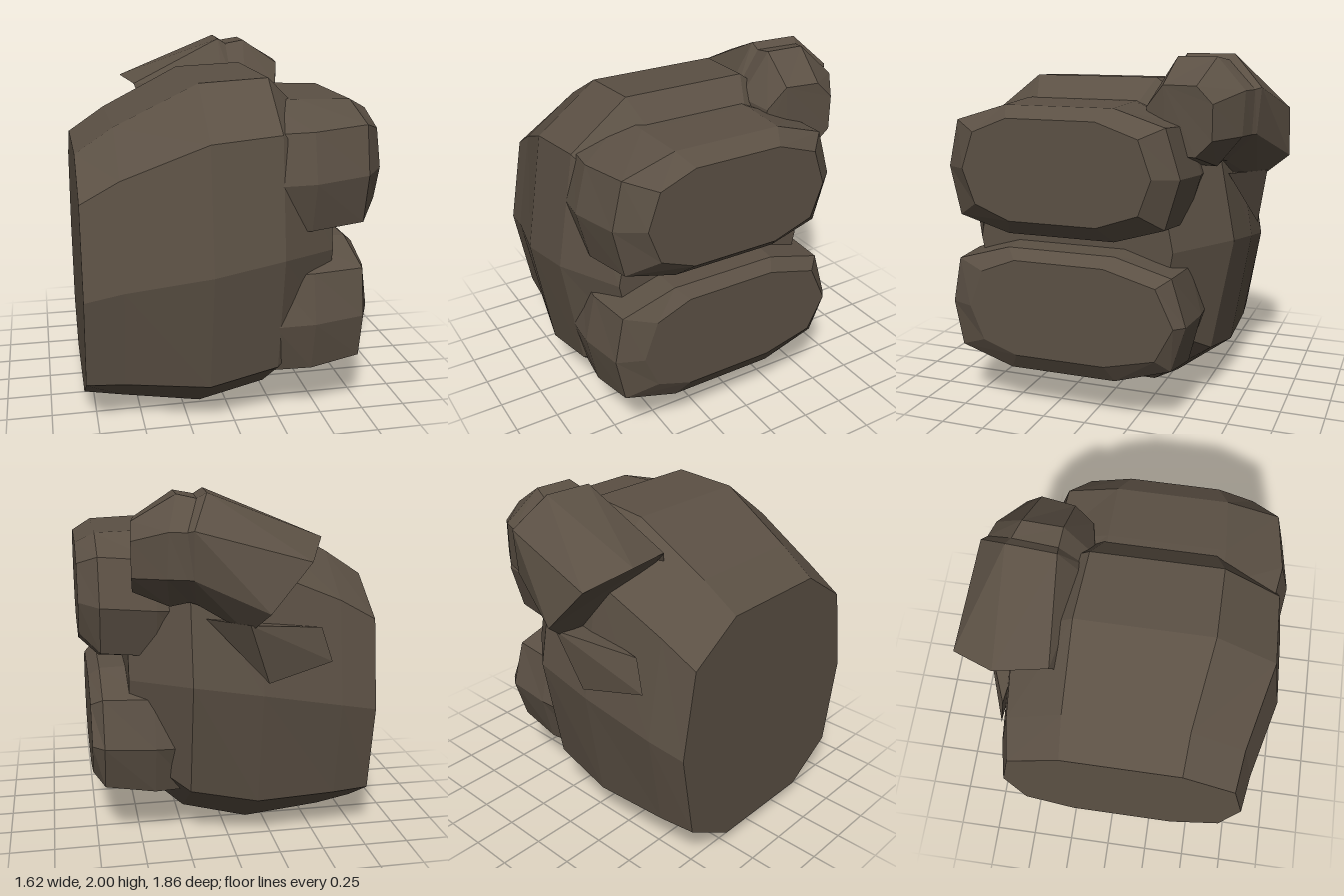
import * as THREE from 'three';
import { ConvexGeometry } from 'three/addons/geometries/ConvexGeometry.js';

const fur = new THREE.MeshStandardMaterial({ color: 0x5b5044, flatShading: true });
fur.name = 'dark brown';

// Skins a row of cross-sections that run along +x, and closes both ends.
function loft(rings) {
  const n = rings[0].length;
  const pos = rings.flat(2);
  const index = [];
  for (let i = 0; i < rings.length - 1; i++) {
    for (let j = 0; j < n; j++) {
      const k = (j + 1) % n;
      const a = i * n + j, b = i * n + k, d = a + n, c = b + n;
      index.push(a, d, b, b, d, c);
    }
  }
  const last = (rings.length - 1) * n;
  for (let j = 1; j < n - 1; j++) {
    index.push(0, j, j + 1);
    index.push(last, last + j + 1, last + j);
  }
  const indexed = new THREE.BufferGeometry();
  indexed.setAttribute('position', new THREE.Float32BufferAttribute(pos, 3));
  indexed.setIndex(index);
  const geo = indexed.toNonIndexed();
  geo.computeVertexNormals();
  return geo;
}

// Ten-sided section: z of top edge, shoulder and middle for front and back,
// then the five heights from top to bottom.
function section(x, [topF, shF, midF], [topB, shB, midB], [top, sh, mid, low, bot]) {
  return [
    [x, top, topF], [x, top, topB], [x, sh, shB], [x, mid, midB], [x, low, shB],
    [x, bot, topB], [x, bot, topF], [x, low, shF], [x, mid, midF], [x, sh, shF],
  ];
}

export function createModel() {
  const group = new THREE.Group();
  group.name = 'fist';
  const add = (name, geo) => {
    const mesh = new THREE.Mesh(geo, fur);
    mesh.name = name;
    group.add(mesh);
  };

  // palm, from the flat wrist to the knuckles
  add('palm', loft([
    section(-0.81, [0.4, 0.7, 0.79], [-0.26, -0.565, -0.65], [1.48, 1.28, 0.78, 0.27, 0.08]),
    section(-0.6, [0.41, 0.72, 0.82], [-0.27, -0.59, -0.69], [1.62, 1.4, 0.83, 0.265, 0.045]),
    section(-0.15, [0.475, 0.82, 0.93], [-0.27, -0.61, -0.72], [1.85, 1.59, 0.92, 0.255, 0]),
    section(0.23, [0.475, 0.8, 0.905], [-0.24, -0.58, -0.7], [1.87, 1.62, 0.98, 0.33, 0.09]),
    section(0.55, [0.36, 0.62, 0.71], [-0.1, -0.36, -0.44], [1.57, 1.38, 0.96, 0.52, 0.33]),
  ]));

  // two broad fingers
  add('upperFinger', loft([
    section(0.2, [0.47, 0.77, 0.84], [-0.16, -0.44, -0.53], [1.75, 1.62, 1.36, 1.11, 1.04]),
    section(0.4, [0.475, 0.8, 0.867], [-0.17, -0.47, -0.55], [1.75, 1.63, 1.37, 1.1, 1.02]),
    section(0.7, [0.455, 0.75, 0.81], [-0.16, -0.44, -0.52], [1.74, 1.65, 1.39, 1.12, 1.035]),
    section(0.81, [0.4, 0.6, 0.67], [-0.1, -0.33, -0.4], [1.68, 1.6, 1.4, 1.21, 1.13]),
  ]));
  add('lowerFinger', loft([
    section(0.2, [0.47, 0.77, 0.84], [-0.16, -0.46, -0.55], [0.96, 0.85, 0.58, 0.3, 0.21]),
    section(0.42, [0.475, 0.8, 0.86], [-0.17, -0.5, -0.57], [0.965, 0.86, 0.59, 0.31, 0.22]),
    section(0.7, [0.46, 0.77, 0.82], [-0.16, -0.48, -0.56], [0.955, 0.865, 0.605, 0.35, 0.25]),
    section(0.765, [0.4, 0.6, 0.68], [-0.12, -0.41, -0.51], [0.9, 0.82, 0.61, 0.42, 0.35]),
  ]));

  // thumb: slanted base, thick middle, shallow joint groove and blunt tip
  add('thumb', loft([
    [[-0.4, 1.74, -0.36], [-0.46, 1.76, -0.645], [-0.35, 1.67, -0.885], [-0.13, 1.42, -0.93],
      [-0.05, 1.28, -0.76], [-0.05, 1.28, -0.5], [-0.13, 1.42, -0.33], [-0.35, 1.6, -0.31]],
    [[0.13, 2, -0.385], [0.15, 2, -0.66], [0.24, 1.83, -0.83], [0.24, 1.58, -0.81],
      [0.2, 1.42, -0.64], [0.17, 1.42, -0.38], [0.14, 1.58, -0.25], [0.13, 1.78, -0.25]],
    [[0.18, 1.97, -0.39], [0.2, 1.97, -0.64], [0.27, 1.82, -0.8], [0.27, 1.58, -0.79],
      [0.24, 1.43, -0.63], [0.22, 1.43, -0.38], [0.2, 1.58, -0.25], [0.19, 1.77, -0.25]],
    [[0.29, 1.99, -0.38], [0.3, 1.99, -0.6], [0.36, 1.82, -0.77], [0.37, 1.58, -0.76],
      [0.34, 1.41, -0.62], [0.3, 1.41, -0.38], [0.27, 1.56, -0.22], [0.27, 1.75, -0.22]],
    [[0.5, 1.85, -0.36], [0.53, 1.85, -0.55], [0.54, 1.76, -0.64], [0.54, 1.57, -0.64],
      [0.53, 1.48, -0.55], [0.5, 1.48, -0.38], [0.47, 1.58, -0.26], [0.47, 1.73, -0.26]],
  ]));

  // skin fold running from the thumb base down onto the palm
  const fold = [
    [-0.05, 1.34, -0.82], [-0.48, 1.27, -0.65], [-0.54, 1.08, -0.67],
    [-0.17, 1, -0.75], [0.15, 1.34, -0.64], [-0.1, 1.3, -0.6],
  ].map((p) => new THREE.Vector3(...p));
  add('thumbFold', new ConvexGeometry(fold));

  return group;
}
